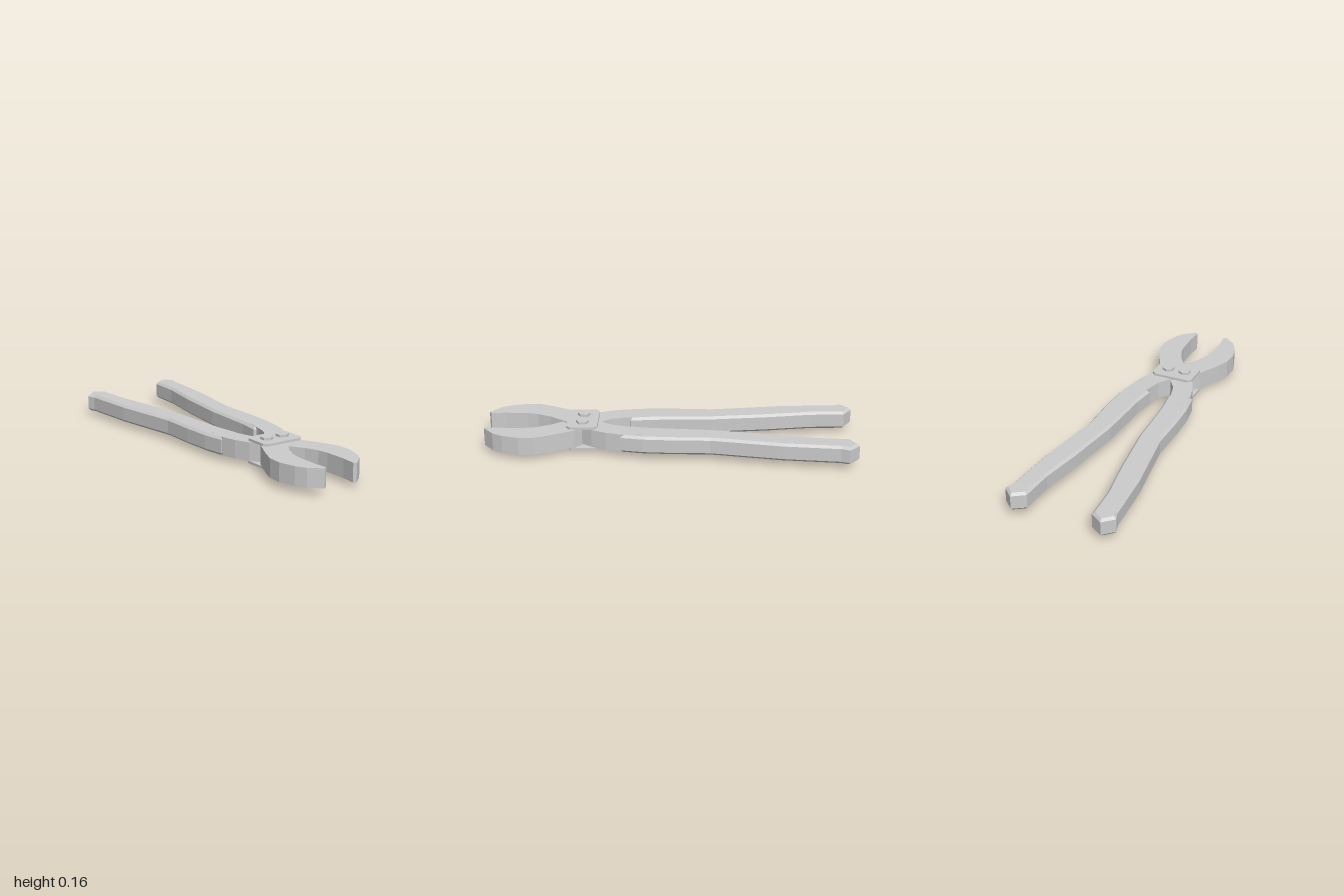
import * as THREE from 'three';

const material = new THREE.MeshStandardMaterial({ color: 0xcccccc, flatShading: true });

// Extrudes an outline drawn as [x, z] pairs downward from height "top"
function slab(name, outline, top, height, bevel = 0) {
  const shape = new THREE.Shape(outline.map(([x, z]) => new THREE.Vector2(x, z)));
  const geometry = new THREE.ExtrudeGeometry(shape, {
    depth: height - 2 * bevel,
    bevelEnabled: bevel > 0,
    bevelSize: bevel,
    bevelThickness: bevel,
    bevelOffset: -bevel,
    bevelSegments: 1,
  });
  geometry.rotateX(Math.PI / 2);
  geometry.translate(0, top - bevel, 0);
  const mesh = new THREE.Mesh(geometry, material);
  mesh.name = name;
  return mesh;
}

// One lever: jaw on the -x side, crossing the pivot to a handle on the +x side
function createLever(name) {
  const lever = new THREE.Group();
  lever.name = name;
  const steel = [
    // outer edge of the shank, across the pivot
    [0.165, 0.15], [0.175, 0.26], [0.155, 0.34], [0.12, 0.42], [0, 0.585],
    // inner edge of the jaw
    [-0.05, 0.66], [-0.08, 0.73], [-0.09, 0.79], [-0.092, 0.91], [-0.085, 0.99],
    // tip and outer edge of the jaw
    [-0.1, 1.0], [-0.165, 0.945], [-0.195, 0.89], [-0.22, 0.8], [-0.215, 0.72],
    [-0.185, 0.645], [-0.12, 0.515],
    // back across the pivot to the inner edge of the shank
    [0, 0.385], [0.045, 0.32], [0.065, 0.25], [0.08, 0.15],
  ];
  const grip = [
    [0.187, 0.26], [0.205, 0.14], [0.21, -0.02], [0.207, -0.22], [0.265, -0.6],
    [0.287, -0.9], [0.303, -0.945], [0.245, -1.0], [0.177, -0.955], [0.167, -0.77],
    [0.127, -0.54], [0.085, -0.22], [0.076, -0.02], [0.07, 0.1], [0.053, 0.22],
  ];
  lever.add(slab('jawAndShank', steel, 0.135, 0.1));
  lever.add(slab('grip', grip, 0.1345, 0.099, 0.013));
  return lever;
}

export function createModel() {
  const model = new THREE.Group();
  model.name = 'pliers';

  // The second lever is the first turned half round the long axis
  const first = createLever('firstLever');
  const second = createLever('secondLever');
  second.rotation.z = Math.PI;
  second.position.y = 0.1625;
  model.add(first, second);

  // Pivot plates with clipped corners
  const w = 0.12, c = 0.02, back = 0.39, front = 0.555;
  const plate = [
    [-w + c, back], [w - c, back], [w, back + c], [w, front - c],
    [w - c, front], [-w + c, front], [-w, front - c], [-w, back + c],
  ];
  model.add(slab('topPlate', plate, 0.148, 0.0135));
  model.add(slab('bottomPlate', plate, 0.028, 0.0135));

  // Hexagonal bolts running through both plates
  for (const side of [-1, 1]) {
    const bolt = new THREE.Mesh(new THREE.CylinderGeometry(0.035, 0.035, 0.161, 6), material);
    bolt.name = side > 0 ? 'leftBolt' : 'rightBolt';
    bolt.position.set(side * 0.05, 0.0805, 0.472);
    model.add(bolt);
  }
  return model;
}
